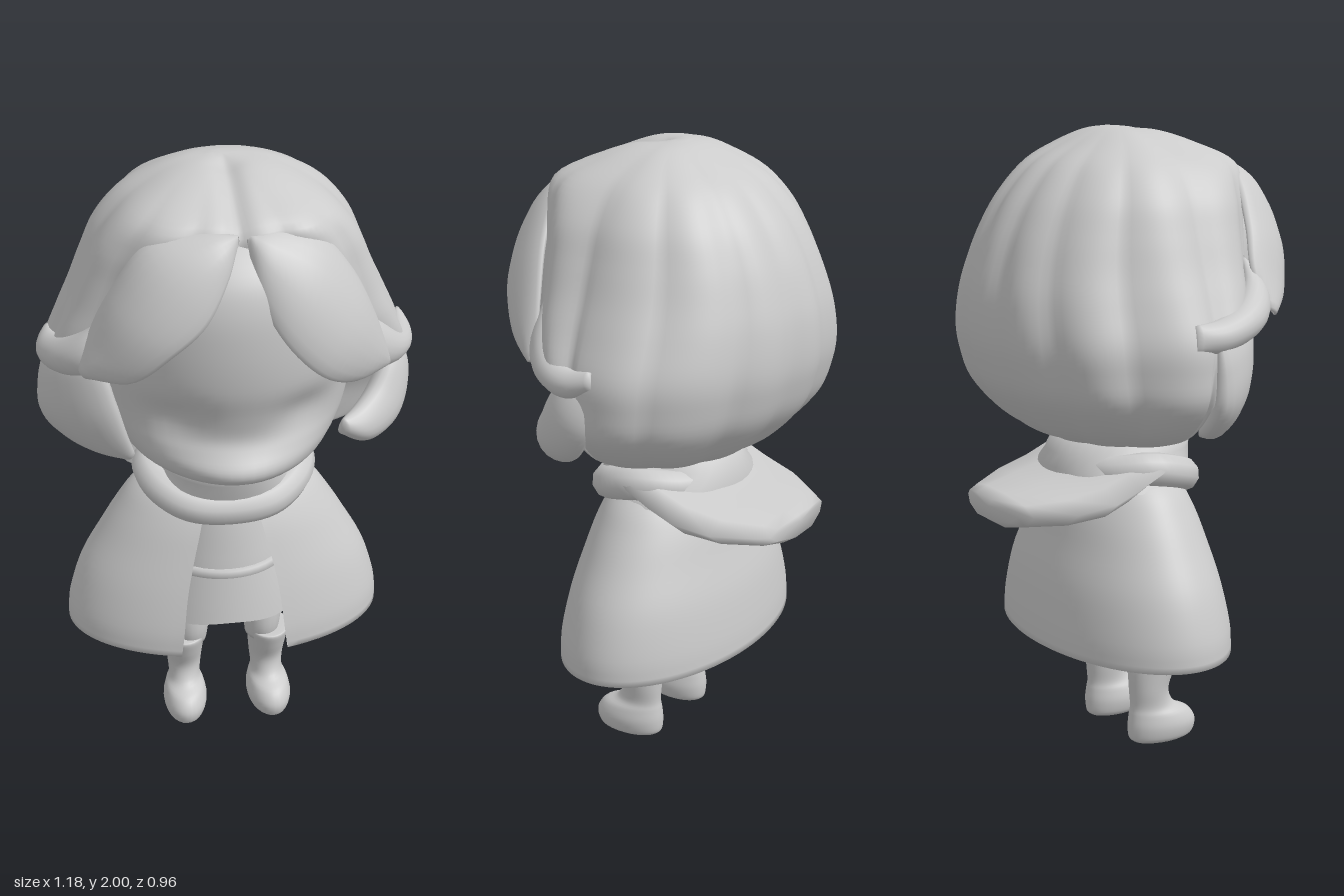
import * as THREE from 'three';

const grey = new THREE.MeshStandardMaterial({ color: 0xcccccc });
const thin = new THREE.MeshStandardMaterial({ color: 0xcccccc, side: THREE.DoubleSide });
const V = (x, y, z) => new THREE.Vector3(x, y, z);
const gauss = (d, s) => Math.exp(-(d * d) / (s * s));

// Skin a list of point rings; closed rings wrap round, caps close both ends.
function loft(rings, closed = true, caps = true) {
  const n = rings[0].length, pts = rings.flat(), idx = [];
  for (let i = 0; i < rings.length - 1; i++) {
    for (let j = 0; j < (closed ? n : n - 1); j++) {
      const k = (j + 1) % n, a = i * n + j, b = i * n + k;
      idx.push(a, b, b + n, a, b + n, a + n);
    }
  }
  if (caps) {
    [rings[0], rings.at(-1)].forEach((ring, end) => {
      const c = pts.length, o = end ? (rings.length - 1) * n : 0;
      pts.push(ring.reduce((s, p) => s.add(p), V(0, 0, 0)).divideScalar(n));
      for (let j = 0; j < n; j++) {
        const a = o + j, b = o + (j + 1) % n;
        if (end) idx.push(c, a, b); else idx.push(c, b, a);
      }
    });
  }
  const g = new THREE.BufferGeometry().setFromPoints(pts);
  g.setIndex(idx);
  g.computeVertexNormals();
  return g;
}

// Smoothly resample profile rows whose first column is the height.
function smoothRows(rows, steps) {
  const f = new THREE.CubicInterpolant(rows.map((r, i) => i), rows.flat(), rows[0].length);
  return Array.from({ length: steps + 1 }, (_, i) => [...f.evaluate((i / steps) * (rows.length - 1))]);
}

// Horizontal oval: half width w, front and back z, widest at z = mid.
function oval([y, w, f, b], n, mid = (f + b) / 2, from = 0, to = 2 * Math.PI, closed = true) {
  return Array.from({ length: n }, (_, j) => {
    const t = from + (to - from) * j / (closed ? n : n - 1), c = Math.cos(t);
    return V(w * Math.sin(t), y, mid + c * (c > 0 ? f - mid : mid - b));
  });
}
const body = (rows, n = 28, steps = 24) => loft(smoothRows(rows, steps).map(r => oval(r, n)));

// Hair lock stretched between an upper and a lower edge, bulging away from the head.
function lock(upper, lower, thick, bulge) {
  const A = new THREE.CatmullRomCurve3(upper.map(p => V(...p)));
  const B = new THREE.CatmullRomCurve3(lower.map(p => V(...p)));
  const mid = u => A.getPoint(u).add(B.getPoint(u)).multiplyScalar(0.5);
  const rings = [];
  for (let i = 0; i <= 28; i++) {
    const u = i / 28, c = mid(u), W = A.getPoint(u).sub(c);
    const T = mid(Math.min(1, u + 0.01)).sub(mid(Math.max(0, u - 0.01)));
    const N = T.cross(W).normalize(), out = c.clone().sub(V(0, 1.45, 0)).normalize();
    const fat = Math.pow(Math.sin(Math.PI * (0.03 + 0.94 * u)), 0.6);
    rings.push(Array.from({ length: 20 }, (_, j) => {
      const t = j / 20 * 2 * Math.PI, s = Math.sin(t);
      return c.clone().addScaledVector(W, Math.cos(t)).addScaledVector(N, s * thick * fat)
        .addScaledVector(out, bulge * fat * s * s);
    }));
  }
  return loft(rings);
}

export function createModel() {
  const model = new THREE.Group();
  const add = (name, geo, mat = grey, parent = model) => {
    const m = new THREE.Mesh(geo, mat);
    m.name = name;
    parent.add(m);
    return m;
  };

  // Head: rounded skull with a muzzle, brow and soft eye hollows
  const head = smoothRows([
    [1.015, 0.13, 0.2, -0.1], [1.035, 0.23, 0.3, -0.2], [1.09, 0.31, 0.38, -0.27], [1.14, 0.345, 0.4, -0.3],
    [1.19, 0.37, 0.395, -0.32], [1.24, 0.385, 0.39, -0.34], [1.32, 0.395, 0.41, -0.36], [1.42, 0.4, 0.44, -0.38],
    [1.55, 0.4, 0.455, -0.38], [1.68, 0.385, 0.45, -0.36], [1.78, 0.34, 0.41, -0.3], [1.86, 0.25, 0.31, -0.2],
    [1.91, 0.1, 0.14, -0.08]], 56).map(r => oval(r, 64, 0.02));
  head.flat().forEach(p => {
    if (p.z < 0.1) return;
    p.z -= 0.03 * gauss(Math.abs(p.x) - 0.2, 0.09) * gauss(p.y - 1.3, 0.07);
    p.z += 0.045 * gauss(p.x, 0.2) * gauss(p.y - 1.13, 0.06);
  });
  add('head', loft(head));

  // Hair cap: boxy front, grooves fanning out from the crown, parting at the front
  const hair = smoothRows([
    [1.02, 0.2, 0, -0.17], [1.045, 0.34, 0.02, -0.25], [1.1, 0.46, 0.03, -0.335], [1.2, 0.55, 0.05, -0.425],
    [1.3, 0.565, 0.11, -0.465], [1.39, 0.56, 0.215, -0.48], [1.5, 0.515, 0.275, -0.475], [1.6, 0.47, 0.295, -0.45],
    [1.7, 0.43, 0.31, -0.41], [1.8, 0.385, 0.328, -0.35], [1.89, 0.31, 0.335, -0.265], [1.95, 0.215, 0.22, -0.16],
    [1.985, 0.125, 0.12, -0.08], [1.998, 0.03, 0.03, -0.025]], 60).map(r => oval(r, 120, 0));
  hair.forEach(ring => ring.forEach((p, j) => {
    const t = j / 120 * 2 * Math.PI, fade = Math.min(1, (2 - p.y) / 0.12);
    let k = 1 + 0.042 * fade * (Math.abs(Math.sin(6.5 * t + 0.9 * Math.sin(2 * t))) - 0.68);
    if (p.z > 0) {
      k *= Math.pow(Math.abs(Math.sin(t)) ** 3.5 + Math.cos(t) ** 3.5, -1 / 3.5);
      p.y -= 0.022 * gauss(p.x, 0.035) * Math.min(1, p.z / 0.06);
    }
    p.x = p.x * k + 0.025 * gauss(p.z + 0.19, 0.11) * gauss(p.y - 1.35, 0.3);
    p.z *= k;
  }));
  add('hairCap', loft(hair));

  // Swept fringe, one lock each side of the parting
  add('rightFringe', lock(
    [[0, 1.875, 0.32], [-0.1, 1.885, 0.3], [-0.26, 1.85, 0.28], [-0.36, 1.71, 0.26], [-0.42, 1.58, 0.24], [-0.46, 1.47, 0.27]],
    [[-0.005, 1.86, 0.35], [-0.04, 1.78, 0.41], [-0.11, 1.66, 0.455], [-0.21, 1.57, 0.46], [-0.32, 1.47, 0.41], [-0.45, 1.44, 0.31]],
    0.035, 0.035));
  add('leftFringe', lock(
    [[0.03, 1.875, 0.32], [0.1, 1.885, 0.3], [0.24, 1.85, 0.28], [0.34, 1.73, 0.26], [0.42, 1.56, 0.23], [0.475, 1.39, 0.21]],
    [[0.025, 1.86, 0.35], [0.045, 1.73, 0.41], [0.12, 1.59, 0.46], [0.23, 1.47, 0.45], [0.34, 1.4, 0.37], [0.465, 1.37, 0.24]],
    0.035, 0.035));

  // Side curls flicking back above the ears
  add('leftSideCurl', lock(
    [[0.38, 1.58, 0.22], [0.45, 1.5, 0.17], [0.51, 1.43, 0.1], [0.55, 1.41, 0.03], [0.565, 1.42, -0.05]],
    [[0.38, 1.43, 0.26], [0.43, 1.37, 0.23], [0.5, 1.33, 0.15], [0.555, 1.32, 0.03], [0.57, 1.37, -0.06]], 0.045, 0.01));
  add('rightSideCurl', lock(
    [[-0.37, 1.62, 0.24], [-0.43, 1.56, 0.22], [-0.49, 1.5, 0.15], [-0.525, 1.46, 0.05], [-0.54, 1.45, -0.04]],
    [[-0.35, 1.47, 0.3], [-0.42, 1.43, 0.27], [-0.49, 1.39, 0.19], [-0.54, 1.36, 0.06], [-0.555, 1.37, -0.05]], 0.05, 0.01));

  // Lower locks: one curls forward to the cheek, one hangs beside the jaw
  add('leftCheekLock', lock(
    [[0.53, 1.38, 0.06], [0.5, 1.32, 0.12], [0.45, 1.25, 0.17], [0.39, 1.21, 0.22], [0.34, 1.2, 0.26]],
    [[0.54, 1.34, -0.06], [0.555, 1.21, -0.03], [0.51, 1.1, 0.06], [0.41, 1.08, 0.17], [0.33, 1.15, 0.25]], 0.06, 0.015));
  add('rightCheekLock', lock(
    [[-0.46, 1.45, 0.2], [-0.4, 1.42, 0.23], [-0.36, 1.3, 0.235], [-0.33, 1.18, 0.21], [-0.3, 1.07, 0.16]],
    [[-0.55, 1.42, 0.03], [-0.575, 1.3, 0.03], [-0.57, 1.19, 0.03], [-0.48, 1.1, 0.05], [-0.31, 1.05, 0.13]], 0.055, 0.01));

  // Neck and standing collar, flared to meet the scarf
  add('neck', new THREE.CylinderGeometry(0.12, 0.13, 0.2, 24).translate(0, 0.97, 0.03));
  add('collar', loft([[0.88, 0.28, 0.22, -0.24], [0.94, 0.25, 0.24, -0.24], [0.98, 0.215, 0.25, -0.22], [1.03, 0.205, 0.265, -0.2],
    [1.02, 0.17, 0.23, -0.17], [0.95, 0.15, 0.2, -0.15]].map(r => oval(r, 36)), true, false), thin);

  // Rolled scarf drooping at the front, rising over the shoulders into the hood
  const rollPts = [[0, 0.875, 0.2], [0.13, 0.885, 0.18], [0.22, 0.92, 0.1], [0.24, 0.945, 0], [0.17, 0.935, -0.1], [0, 0.92, -0.15]];
  const loop = [...rollPts, ...rollPts.slice(1, -1).reverse().map(([x, y, z]) => [-x, y, z])].map(p => V(...p));
  add('scarfRoll', new THREE.TubeGeometry(new THREE.CatmullRomCurve3(loop, true), 64, 0.056, 10, true));

  // Hood lying flat behind the shoulders: rows of z, top, bottom, half width
  const hood = [[0.03, 0.965, 0.91, 0.26], [-0.03, 0.985, 0.87, 0.31], [-0.12, 0.965, 0.82, 0.32], [-0.2, 0.935, 0.785, 0.315],
    [-0.32, 0.905, 0.775, 0.285], [-0.43, 0.885, 0.775, 0.2], [-0.47, 0.87, 0.8, 0.17]];
  add('hood', loft(hood.map(([z, top, low, w], i) => Array.from({ length: 10 }, (_, j) => {
    const t = j / 10 * 2 * Math.PI, c = Math.cos(t), lift = 0.025 * c * c * (1 - i / 6);
    return V(w * c, (top + low) / 2 - (top - low) / 2 * Math.sin(t) * 1.04 + lift, z + 0.03 * c * c);
  }))));

  // Cape: thin shell open down the front; last column is the half opening
  const outer = smoothRows([[0.365, 0.522, 0.31, -0.3, 0.175], [0.45, 0.515, 0.305, -0.295, 0.165], [0.58, 0.475, 0.28, -0.275, 0.15],
    [0.7, 0.41, 0.25, -0.24, 0.125], [0.8, 0.35, 0.22, -0.21, 0.1], [0.88, 0.29, 0.18, -0.17, 0.08],
    [0.95, 0.19, 0.12, -0.12, 0.06]], 24);
  const inner = outer.map(([y, w, f, b, e]) => [y, w - 0.014, f - 0.014, b + 0.014, e]).reverse();
  add('cape', loft([...inner, ...outer].map(r => {
    const a = Math.asin(r[4] / r[1]);
    return oval(r, 72, 0, a, 2 * Math.PI - a, false);
  }), false, false), thin);

  // Tunic, belt and skirt
  add('tunic', body([[0.57, 0.2, 0.185, -0.14], [0.66, 0.185, 0.175, -0.13], [0.8, 0.155, 0.155, -0.115], [0.92, 0.125, 0.12, -0.09]]));
  add('belt', loft([[0.59, 0.195, 0.185, -0.14], [0.592, 0.208, 0.197, -0.15], [0.615, 0.203, 0.193, -0.147], [0.618, 0.19, 0.18, -0.135]]
    .map(r => oval(r, 40))));
  const skirt = [[0.405, 0.245, 0.215, -0.18], [0.5, 0.23, 0.205, -0.165], [0.6, 0.202, 0.188, -0.145]].map(r => oval(r, 48));
  skirt[0].forEach(p => { p.y += 0.02 * gauss(p.x, 0.12); });
  add('skirt', loft(skirt, true, false), thin);
  add('hips', body([[0.39, 0.07, 0.1, -0.02], [0.42, 0.15, 0.145, -0.08], [0.5, 0.18, 0.16, -0.11], [0.58, 0.17, 0.15, -0.11]]));

  // Legs, boots, arms and hands, mirrored
  for (const s of [1, -1]) {
    const side = s > 0 ? 'left' : 'right';
    add(side + 'Leg', body([[0.28, 0.055, 0.135, 0], [0.34, 0.062, 0.15, 0], [0.42, 0.072, 0.148, -0.03], [0.5, 0.07, 0.13, -0.06]], 20, 12))
      .position.x = s * 0.122;
    const boot = add(side + 'Boot', body([[0, 0.05, 0.19, 0], [0.015, 0.066, 0.212, -0.016], [0.055, 0.074, 0.22, -0.02],
      [0.095, 0.066, 0.195, -0.016], [0.125, 0.053, 0.14, -0.012], [0.18, 0.057, 0.12, -0.015], [0.25, 0.064, 0.145, -0.018],
      [0.305, 0.07, 0.163, -0.01], [0.312, 0.06, 0.15, 0.0]], 28, 36));
    boot.position.x = s * 0.138;
    boot.rotation.y = s * 0.06;

    const arm = new THREE.CatmullRomCurve3([V(s * 0.1, 0.87, 0), V(s * 0.2, 0.8, 0), V(s * 0.29, 0.66, 0), V(s * 0.345, 0.54, 0)]);
    add(side + 'Arm', new THREE.TubeGeometry(arm, 20, 0.045, 14));
    const hand = new THREE.Group();
    hand.name = side + 'Hand';
    hand.position.set(s * 0.355, 0.51, 0);
    hand.rotation.z = s * 0.2;
    hand.scale.setScalar(1.25);
    model.add(hand);
    add('palm', new THREE.SphereGeometry(0.045, 16, 12).scale(0.5, 1, 0.9), grey, hand);
    for (let i = 0; i < 5; i++) {
      const thumb = i === 4;
      const f = add('finger', new THREE.CapsuleGeometry(0.01, 0.045, 4, 8), grey, hand);
      f.position.set(0, thumb ? -0.015 : -0.055, thumb ? 0.048 : -0.03 + i * 0.02);
      f.rotation.x = thumb ? -0.7 : (1.5 - i) * 0.12;
    }
  }
  return model;
}
